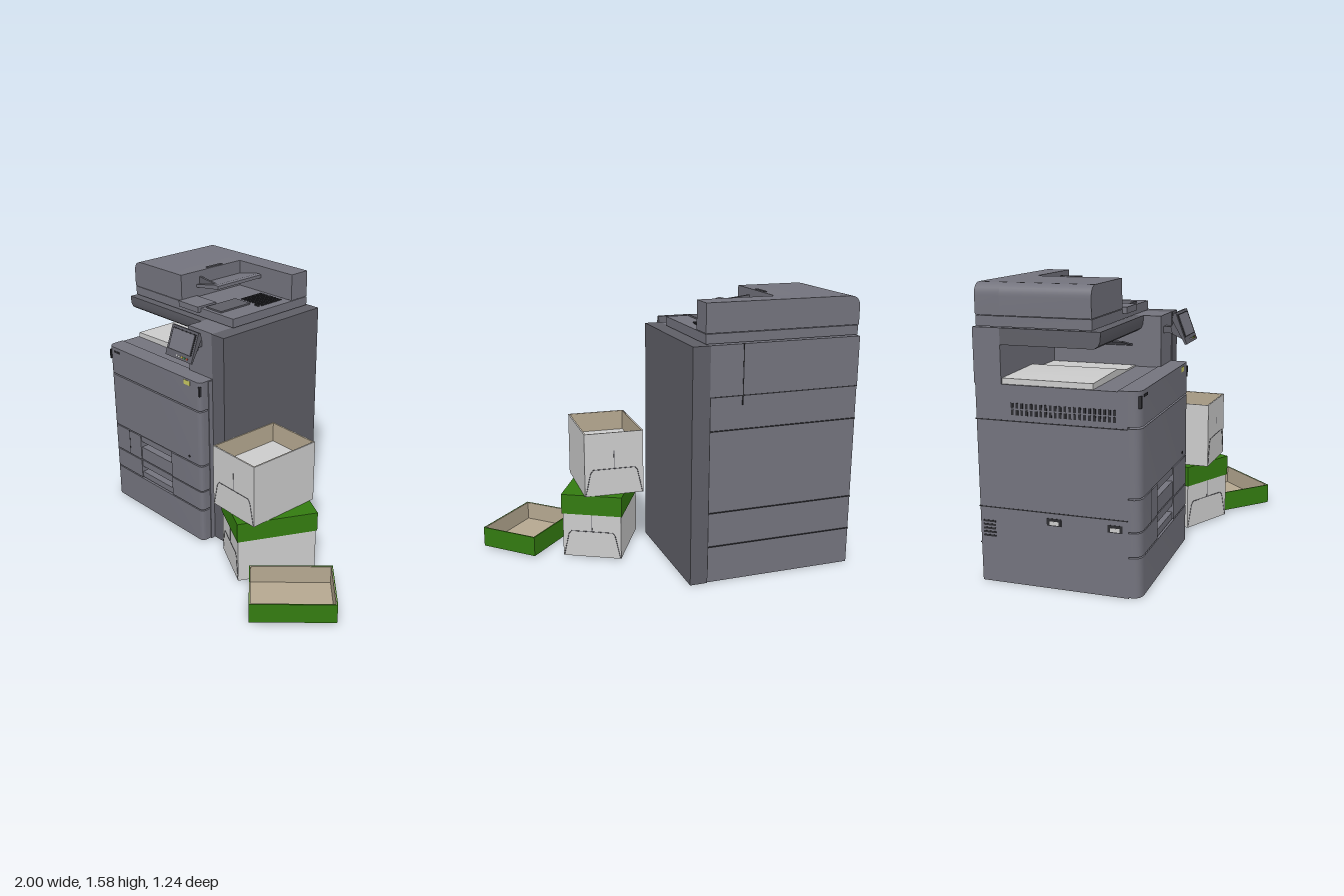
import * as THREE from 'three';
import { toCreasedNormals } from 'three/addons/utils/BufferGeometryUtils.js';

const mat = (color) => new THREE.MeshStandardMaterial({ color });
const grey = mat(0x73737d), dark = mat(0x5e5e66), seamMat = mat(0x2c2c30), light = mat(0xcccccc);
const green = mat(0x337b10), card = mat(0xb5a890), yellow = mat(0xc8c860);

function add(parent, name, geo, material) {
  const mesh = new THREE.Mesh(geo, material);
  mesh.name = name;
  parent.add(mesh);
  return mesh;
}

// Box given by its limits on each axis
function block(parent, name, [x0, x1], [y0, y1], [z0, z1], material = grey) {
  const mesh = add(parent, name, new THREE.BoxGeometry(x1 - x0, y1 - y0, z1 - z0), material);
  mesh.position.set((x0 + x1) / 2, (y0 + y1) / 2, (z0 + z1) / 2);
  return mesh;
}

const extrude = (shape, depth) => toCreasedNormals(
  new THREE.ExtrudeGeometry(shape, { depth, bevelEnabled: false, curveSegments: 8 }), 0.5);
const poly = (pts) => new THREE.Shape(pts.map(([a, b]) => new THREE.Vector2(a, b)));

// Side profile of [z, y] points extruded from x0 to x1
function sideProfile(parent, name, pts, x0, x1, material = grey) {
  const geo = extrude(poly(pts.map(([z, y]) => [-z, y])), x1 - x0).rotateY(Math.PI / 2);
  geo.translate(x0, 0, 0);
  return add(parent, name, geo, material);
}

// Front profile of [x, y] points extruded from z0 to z1
function frontProfile(parent, name, shape, z0, z1, material = grey) {
  return add(parent, name, extrude(shape, z1 - z0).translate(0, 0, z0), material);
}

// Front panel with rounded vertical corners, optionally notched for a grip
function frontPanel(parent, name, y0, y1, notch) {
  const f = 0.265, L = -1, R = -0.115, s = new THREE.Shape();
  s.moveTo(L, -0.15);
  s.lineTo(L, -f + 0.06);
  s.quadraticCurveTo(L, -f, L + 0.06, -f);
  if (notch) [[-0.71, f], [-0.71, 0.2], [-0.4, 0.2], [-0.4, f]].forEach(([x, z]) => s.lineTo(x, -z));
  s.lineTo(R - 0.03, -f);
  s.quadraticCurveTo(R, -f, R, -f + 0.03);
  s.lineTo(R, -0.15);
  add(parent, name, extrude(s, y1 - y0).rotateX(-Math.PI / 2).translate(0, y0, 0), grey);
}

function copierBody(g) {
  block(g, 'mainBody', [-1, -0.11], [0, 1.07], [-0.615, 0.2]);
  block(g, 'sideTower', [-0.11, -0.01], [0, 1.355], [-0.622, 0.17], dark);
  block(g, 'rearColumn', [-1, -0.11], [1.07, 1.355], [-0.62, -0.47]);
  block(g, 'controlHousing', [-0.32, -0.11], [1.07, 1.355], [-0.47, 0.165]);

  // Front covers and drawers
  frontPanel(g, 'lowerDrawer', 0.005, 0.217);
  frontPanel(g, 'middleDrawer', 0.225, 0.35, true);
  frontPanel(g, 'upperDrawer', 0.357, 0.525, true);
  frontPanel(g, 'frontDoor', 0.533, 0.887);
  frontPanel(g, 'topCover', 0.896, 1.075);
  for (const [y0, y1] of [[0.225, 0.265], [0.305, 0.35], [0.357, 0.445], [0.485, 0.525]])
    block(g, 'drawerGrip', [-0.71, -0.4], [y0, y1], [0.19, 0.258]);
  block(g, 'drawerSeam', [-0.83, -0.825], [0.36, 0.525], [0.26, 0.266], seamMat);
  for (const x of [-0.985, -0.13])
    block(g, 'coverLatch', [x, x + 0.013], [0.99, 1.05], [0.22, 0.266], seamMat);
  block(g, 'frontVent', [-0.94, -0.885], [1.04, 1.053], [0.26, 0.267], seamMat);
  block(g, 'warningLabel', [-0.255, -0.2], [1.035, 1.063], [0.26, 0.267], yellow);
  const lock = add(g, 'doorLock', new THREE.CylinderGeometry(0.008, 0.008, 0.01, 12), seamMat);
  lock.rotation.x = Math.PI / 2;
  lock.position.set(-0.225, 0.565, 0.263);

  // Rear and side seams
  for (const y of [0.21, 0.41, 0.88, 1.07]) {
    block(g, 'rearSeam', [-1, -0.11], [y, y + 0.006], [-0.621, -0.6], seamMat);
    if (y < 1 && y > 0.3) block(g, 'sideSeam', [-1.001, -0.98], [y, y + 0.006], [-0.615, 0.2], seamMat);
  }
  block(g, 'rearSeam', [-0.115, -0.109], [0.03, 1.07], [-0.621, -0.6], seamMat);
  block(g, 'rearSeam', [-0.305, -0.3], [1.02, 1.355], [-0.622, -0.6], seamMat);

  // Vents and pull recesses on the left side
  for (let i = 0; i < 22; i++)
    for (const y of [0.915, 0.95])
      block(g, 'sideVentSlot', [-1.002, -0.98], [y, y + 0.028], [-0.42 + i * 0.026, -0.406 + i * 0.026], seamMat);
  for (let i = 0; i < 5; i++)
    block(g, 'lowerVentSlot', [-1.002, -0.98], [0.25 + i * 0.02, 0.26 + i * 0.02], [-0.6, -0.53], seamMat);
  for (const z of [-0.24, 0.09]) {
    block(g, 'sidePull', [-1.002, -0.98], [0.345, 0.385], [z, z + 0.08], seamMat);
    block(g, 'sidePullPlate', [-1.003, -0.98], [0.35, 0.37], [z + 0.015, z + 0.065], light);
  }

  // Paper exit tray inside the output bay
  frontProfile(g, 'outputTray', poly([[-0.99, 1.07], [-0.33, 1.07], [-0.33, 1.078], [-0.48, 1.08],
    [-0.62, 1.108], [-0.99, 1.1]]), -0.47, 0.02, light);
  frontProfile(g, 'exitFlap', poly([[-0.49, 1.228], [-0.32, 1.185], [-0.32, 1.195], [-0.49, 1.236]]), -0.47, 0.0, dark);
}

function scanner(g) {
  // Scanner base with rounded front edge
  sideProfile(g, 'scannerBase', [[-0.47, 1.27], [0.03, 1.27], [0.052, 1.285], [0.063, 1.31],
    [0.065, 1.355], [-0.47, 1.355]], -1, -0.32, dark);
  block(g, 'scannerLid', [-0.995, -0.09], [1.36, 1.413], [-0.6, 0.02]);

  // Document feeder: rounded left block plus full-width rear ridge
  const feeder = (right) => {
    const s = new THREE.Shape();
    s.moveTo(-1, 1.416);
    s.lineTo(right, 1.416);
    s.lineTo(right, 1.577);
    s.lineTo(-0.935, 1.577);
    s.quadraticCurveTo(-1, 1.577, -1, 1.512);
    return s;
  };
  frontProfile(g, 'feederHead', feeder(-0.545), -0.465, 0.02);
  frontProfile(g, 'feederRear', feeder(-0.09), -0.6, -0.465);
  block(g, 'feederHinge', [-0.57, -0.55], [1.57, 1.583], [-0.32, -0.2], dark);
  frontProfile(g, 'feederTray', poly([[-0.545, 1.478], [-0.35, 1.505], [-0.35, 1.525], [-0.37, 1.53],
    [-0.545, 1.495]]), -0.46, -0.1);
  frontProfile(g, 'trayGuide', poly([[-0.545, 1.47], [-0.38, 1.5], [-0.38, 1.522], [-0.545, 1.54]]), -0.14, -0.125, dark);
  block(g, 'frontStep', [-0.545, -0.37], [1.39, 1.425], [-0.1, 0.045]);
  block(g, 'ejectStop', [-0.35, -0.22], [1.41, 1.422], [-0.24, -0.005], dark);
  for (let i = 0; i < 8; i++)
    block(g, 'deckGrille', [-0.33 + i * 0.024, -0.318 + i * 0.024], [1.41, 1.418], [-0.44, -0.27], seamMat);
  block(g, 'deckCatch', [-0.185, -0.155], [1.41, 1.421], [-0.255, -0.245], seamMat);
}

function controlPanel(g) {
  const panel = new THREE.Group();
  panel.name = 'controlPanel';
  g.add(panel);
  sideProfile(panel, 'panelShell', [[0.32, 1.21], [0.257, 1.38], [0.243, 1.377], [0.235, 1.34], [0.31, 1.208]],
    -0.348, -0.12, dark);
  sideProfile(panel, 'panelBack', [[0.305, 1.22], [0.25, 1.36], [0.215, 1.29], [0.225, 1.255]], -0.3, -0.165, dark);
  block(panel, 'panelArm', [-0.265, -0.2], [1.255, 1.292], [0.16, 0.24], dark);
  // Screen and keys lie on the tilted face
  const face = new THREE.Group();
  face.name = 'panelFace';
  face.position.set(-0.234, 1.295, 0.289);
  face.rotation.x = -0.355;
  panel.add(face);
  block(face, 'screenFrame', [-0.1, 0.1], [-0.052, 0.078], [-0.004, 0.002], seamMat);
  block(face, 'screen', [-0.092, 0.092], [-0.046, 0.072], [-0.004, 0.004], grey);
  [0xcccccc, 0xcccccc, 0xc8b040, 0x3f8f4a, 0xb04a30].forEach((c, i) =>
    block(face, 'panelKey', [-0.02 + i * 0.022, -0.008 + i * 0.022], [-0.078, -0.068], [-0.004, 0.004], mat(c)));
}

// Open-topped carton with a lined inside
function openBox(parent, name, w, h, d, outer) {
  const box = new THREE.Group(), t = 0.005;
  box.name = name;
  parent.add(box);
  block(box, 'floor', [-w / 2, w / 2], [0, t], [-d / 2, d / 2], outer);
  block(box, 'floorLining', [-w / 2 + t, w / 2 - t], [t, 2 * t], [-d / 2 + t, d / 2 - t], card);
  for (const s of [-1, 1]) {
    const span = (a, b) => [Math.min(s * a, s * b), Math.max(s * a, s * b)];
    block(box, 'sideWall', span(w / 2 - t, w / 2), [t, h], [-d / 2, d / 2], outer);
    block(box, 'endWall', [-w / 2 + t, w / 2 - t], [t, h], span(d / 2 - t, d / 2), outer);
    block(box, 'sideLining', span(w / 2 - 2 * t, w / 2 - t), [t, h - 0.001], [-d / 2 + t, d / 2 - t], card);
    block(box, 'endLining', [-w / 2 + t, w / 2 - t], [t, h - 0.001], span(d / 2 - 2 * t, d / 2 - t), card);
  }
  return box;
}

// Tuck-flap outline on both ends of a carton
function endFlaps(box, w, d) {
  const pts = [[-w / 2 + 0.005, 0.005], [-w / 2 + 0.035, 0.14], [-w / 2 + 0.05, 0.16],
    [w / 2 - 0.05, 0.16], [w / 2 - 0.035, 0.14], [w / 2 - 0.005, 0.005]];
  for (const z of [-d / 2, d / 2]) {
    const path = new THREE.CurvePath();
    for (let i = 1; i < pts.length; i++)
      path.add(new THREE.LineCurve3(new THREE.Vector3(...pts[i - 1], z), new THREE.Vector3(...pts[i], z)));
    add(box, 'flapOutline', new THREE.TubeGeometry(path, 60, 0.002, 4), dark);
    block(box, 'flapSeam', [-0.002, 0.002], [0.16, 0.27], [z - 0.001, z + 0.001], dark);
  }
}

function place(obj, x, y, z, turn) {
  obj.position.set(x, y, z);
  obj.rotation.y = turn;
}

export function createModel() {
  const model = new THREE.Group();
  model.name = 'copierWithPaperBoxes';
  const copier = new THREE.Group();
  copier.name = 'copier';
  model.add(copier);
  copierBody(copier);
  scanner(copier);
  controlPanel(copier);

  // Closed carton with its lid on
  const lower = openBox(model, 'lowerBox', 0.352, 0.38, 0.47, light);
  endFlaps(lower, 0.352, 0.47);
  place(lower, 0.302, 0.01, 0.11, -0.495);
  block(lower, 'lid', [-0.1825, 0.1825], [0.268, 0.388], [-0.241, 0.241], green);

  // Open carton filled with paper
  const upper = openBox(model, 'upperBox', 0.352, 0.38, 0.47, light);
  endFlaps(upper, 0.352, 0.47);
  place(upper, 0.267, 0.399, 0.117, -0.045);
  block(upper, 'paperStack', [-0.166, 0.166], [0.01, 0.26], [-0.225, 0.225], light);

  // Loose lid lying upside down
  place(openBox(model, 'looseLid', 0.365, 0.12, 0.482, green), 0.7, 0.01, 0.322, -0.775);
  return model;
}
